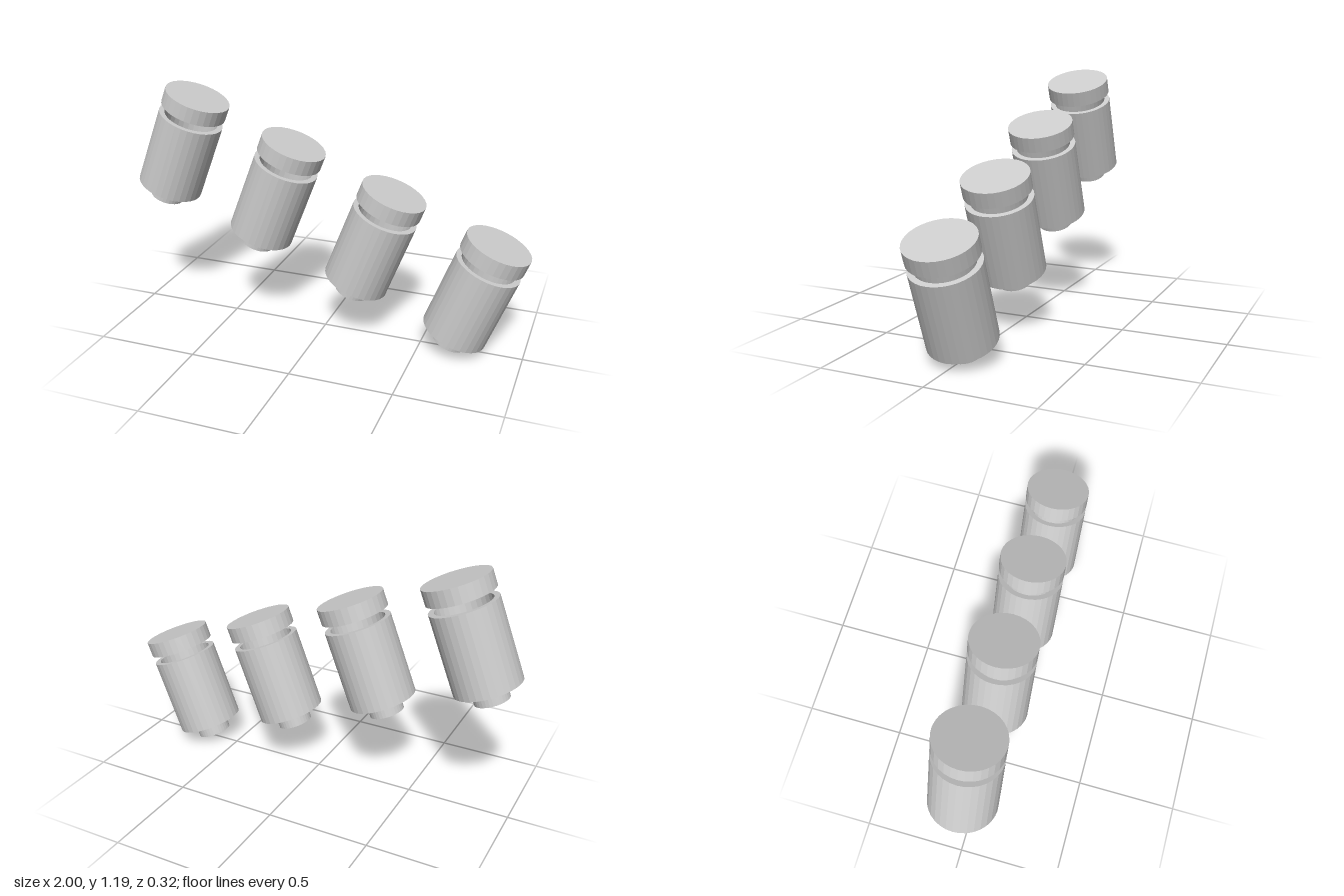
import * as THREE from 'three';

const material = new THREE.MeshStandardMaterial({ color: 0xcccccc, flatShading: true });
const SIDES = 32, R = 0.162, INNER = 0.135, STEM_R = 0.084;

// Turns a profile of [radius, height] pairs, listed from the bottom centre round to the top
function turned(name, profile, y) {
  const points = profile.map(([r, h]) => new THREE.Vector2(r, h));
  const mesh = new THREE.Mesh(new THREE.LatheGeometry(points, SIDES), material);
  mesh.name = name;
  mesh.position.y = y;
  return mesh;
}

function createCanister() {
  const canister = new THREE.Group();
  canister.name = 'canister';
  canister.add(
    // short stem under the body
    turned('stem', [[0, 0], [STEM_R, 0], [STEM_R, 0.067]], 0),
    // hollow body, open at the top
    turned('body', [[0, 0], [R, 0], [R, 0.394], [INNER, 0.394], [INNER, 0.03], [0, 0.03]], 0.067),
    // floating cap, hollow underneath
    turned('cap', [[0, 0.05], [INNER, 0.05], [INNER, 0], [R, 0], [R, 0.077], [0, 0.077]], 0.504)
  );
  return canister;
}

export function createModel() {
  const model = new THREE.Group();
  model.name = 'canisterRow';
  // four tilted canisters stepping down towards +x
  for (let i = 0; i < 4; i++) {
    const canister = createCanister();
    canister.rotation.z = -THREE.MathUtils.degToRad(21);
    canister.position.set(0.641 - 0.505 * i, 0.03 + 0.188 * i, 0);
    model.add(canister);
  }
  return model;
}
